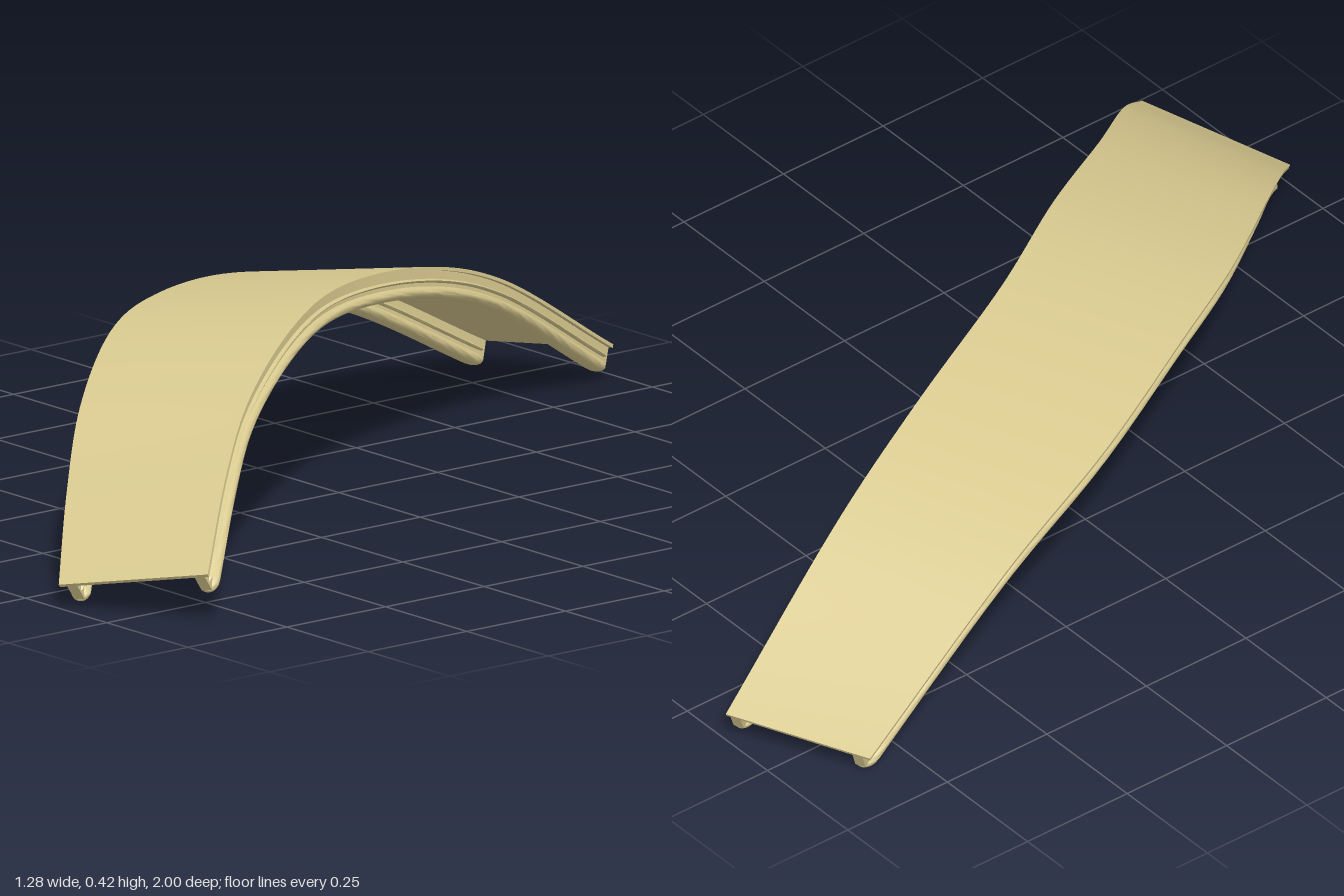
import * as THREE from 'three';
import { toCreasedNormals } from 'three/addons/utils/BufferGeometryUtils.js';

const STEPS = 72;
const curve = pts => new THREE.CatmullRomCurve3(pts.map(p => new THREE.Vector3(...p)));

// The two long edges of the twisting deck, from the back end to the front end
const leftEdge = curve([
  [-0.645, 0.045, -0.86], [-0.545, 0.25, -0.43], [-0.45, 0.335, -0.11], [-0.3, 0.376, 0.21],
  [-0.18, 0.368, 0.42], [0.03, 0.29, 0.68], [0.2, 0.175, 0.855], [0.352, 0.045, 1.0],
]);
const rightEdge = curve([
  [-0.37, 0.06, -1.0], [-0.24, 0.283, -0.607], [-0.14, 0.37, -0.34], [0.01, 0.417, 0.0],
  [0.165, 0.408, 0.25], [0.345, 0.332, 0.515], [0.5, 0.238, 0.7], [0.64, 0.1, 0.86],
]);

// Point and local axes at u: across the deck, and down from its underside
function frame(u, edge) {
  const a = leftEdge.getPointAt(u), b = rightEdge.getPointAt(u);
  const across = b.clone().sub(a).normalize();
  const down = across.clone().cross(edge.getTangentAt(u)).normalize();
  return { origin: edge.getPointAt(u), across, down };
}

// Skin between closed loops of points, with both ends capped
function loft(rings) {
  const n = rings[0].length, pos = [], index = [];
  rings.forEach(r => r.forEach(p => pos.push(p.x, p.y, p.z)));
  for (let k = 0; k < rings.length - 1; k++) {
    for (let i = 0; i < n; i++) {
      const p = k * n + i, q = k * n + (i + 1) % n;
      index.push(p, p + n, q, q, p + n, q + n);
    }
  }
  const last = (rings.length - 1) * n;
  for (let i = 1; i < n - 1; i++) index.push(0, i, i + 1, last, last + i + 1, last + i);
  const g = new THREE.BufferGeometry();
  g.setAttribute('position', new THREE.Float32BufferAttribute(pos, 3));
  g.setIndex(index);
  return toCreasedNormals(g, 0.7);
}

// Sweep an (across, down) profile along an edge
function sweep(edge, profile, stations) {
  return loft(stations.map(u => {
    const { origin, across, down } = frame(u, edge);
    return profile(u).map(([s, d]) => origin.clone().addScaledVector(across, s).addScaledVector(down, d));
  }));
}

const box = (s, w, d0, d1) => [[s - w / 2, d0], [s + w / 2, d0], [s + w / 2, d1], [s - w / 2, d1]];

export function createModel() {
  const model = new THREE.Group();
  const material = new THREE.MeshStandardMaterial({ color: 0xd8c98f, side: THREE.DoubleSide });
  const add = (name, geometry, parent) => {
    const mesh = new THREE.Mesh(geometry, material);
    mesh.name = name;
    parent.add(mesh);
  };
  const even = Array.from({ length: STEPS + 1 }, (_, i) => i / STEPS);

  // Thin curved deck
  add('deck', loft(even.map(u => {
    const l = frame(u, leftEdge), r = frame(u, rightEdge), t = 0.007;
    return [l.origin, r.origin, r.origin.clone().addScaledVector(r.down, t),
      l.origin.clone().addScaledVector(l.down, t)];
  })), model);

  // Bead stations are closer together at the ends, where it rounds off
  const tip = 0.012;
  const fine = [0, 0.04, 0.15, 0.35, 0.65].map(f => f * tip);
  const beadStations = [...fine, ...even.slice(1, -1), ...fine.map(u => 1 - u).reverse()];
  const bead = (s, d, w, h) => u => {
    const e = Math.min(1, Math.min(u, 1 - u) / tip);
    const k = Math.max(0.05, Math.sqrt(1 - (1 - e) ** 2));
    return Array.from({ length: 16 }, (_, i) => {
      const a = i / 16 * Math.PI * 2;
      return [s + Math.cos(a) * w / 2 * k, d + Math.sin(a) * h / 2 * k];
    });
  };

  // Rails under both edges: web, narrow flange and rounded bead
  for (const [side, edge, s] of [['right', leftEdge, 0.027], ['left', rightEdge, -0.02]]) {
    const rail = new THREE.Group();
    rail.name = side + 'Rail';
    add('web', sweep(edge, () => box(s, 0.022, 0.004, 0.045), even), rail);
    add('flange', sweep(edge, bead(s, 0.027, 0.036, 0.01), beadStations), rail);
    add('bead', sweep(edge, bead(s, 0.049, 0.044, 0.026), beadStations), rail);
    model.add(rail);
  }

  // Rest the lowest point on the ground
  const low = new THREE.Box3().setFromObject(model, true).min.y;
  model.children.forEach(c => { c.position.y -= low; });
  return model;
}
